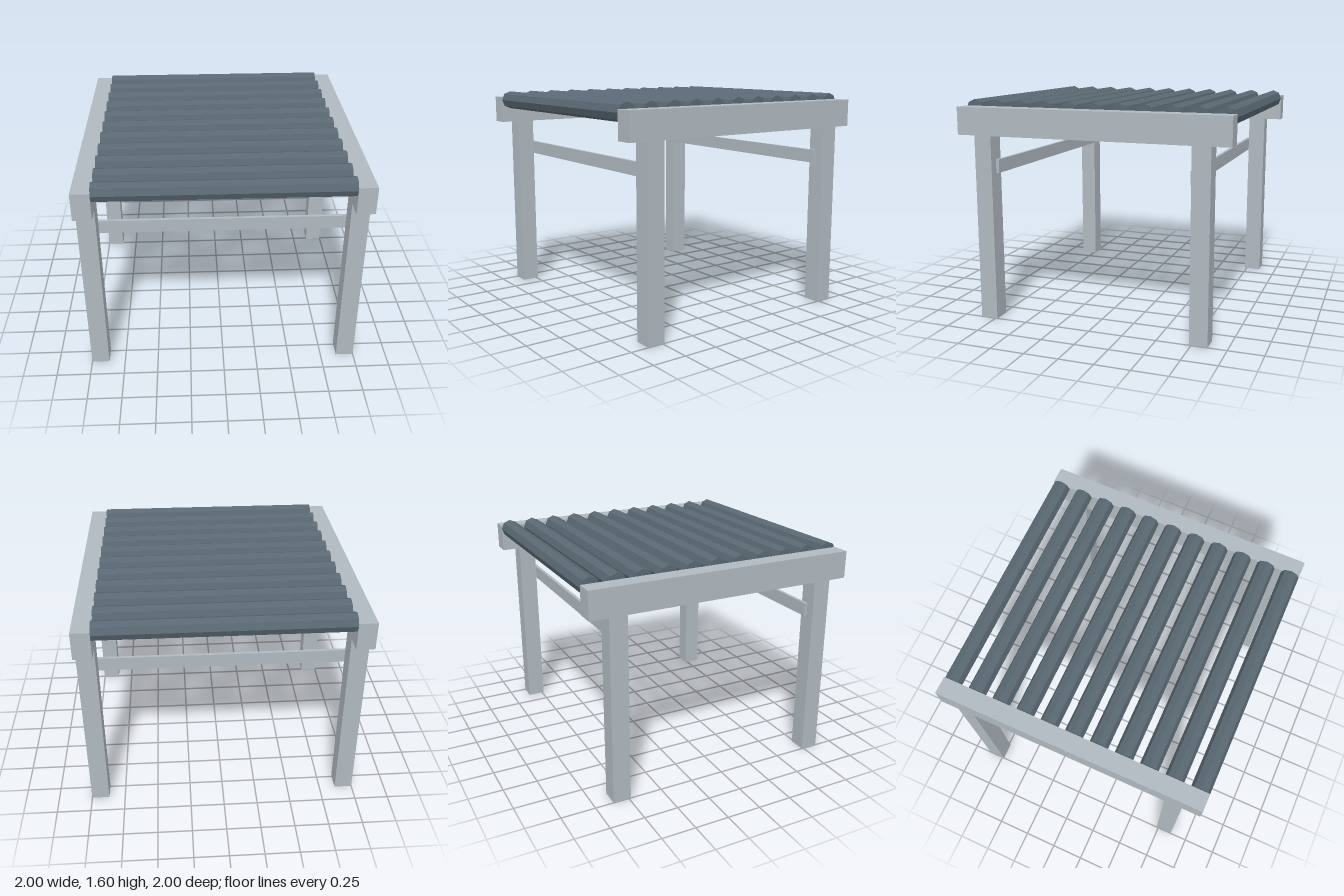
import * as THREE from 'three';

const paleGrey = new THREE.MeshStandardMaterial({ color: 0xb0b9c0 });
paleGrey.name = 'paleGrey';
const slateGrey = new THREE.MeshStandardMaterial({ color: 0x596872, flatShading: true });
slateGrey.name = 'slateGrey';

// Box given by its min and max on each axis
function box(name, [x0, x1], [y0, y1], [z0, z1]) {
  const mesh = new THREE.Mesh(new THREE.BoxGeometry(x1 - x0, y1 - y0, z1 - z0), paleGrey);
  mesh.name = name;
  mesh.position.set((x0 + x1) / 2, (y0 + y1) / 2, (z0 + z1) / 2);
  return mesh;
}

export function createModel() {
  const model = new THREE.Group();
  model.name = 'pergola';

  const inner = 0.87, beamBottom = 1.357, beamTop = 1.557;
  const span = (s, a, b) => (s > 0 ? [a, b] : [-b, -a]);

  for (const sx of [1, -1]) {
    const side = sx > 0 ? 'left' : 'right';

    // Side beams along z
    model.add(box(side + 'Beam', span(sx, inner, 1), [beamBottom, beamTop], [-1, 1]));

    // Posts
    for (const sz of [1, -1]) {
      const end = sz > 0 ? 'Front' : 'Back';
      model.add(box(side + end + 'Post', span(sx, inner, 1), [0, beamBottom], span(sz, 0.735, 0.865)));
    }
  }

  // Cross rails on the inner faces of the posts, ending at mid post
  for (const sz of [1, -1]) {
    model.add(box(sz > 0 ? 'frontRail' : 'backRail', [-0.935, 0.935], [1.085, 1.183], span(sz, 0.712, 0.735)));
  }

  // Octagonal roof poles between the beams
  const count = 11, radius = 0.068;
  const poleGeometry = new THREE.CylinderGeometry(radius, radius, inner * 2, 8);
  poleGeometry.rotateZ(Math.PI / 2);
  const roof = new THREE.Group();
  roof.name = 'roofPoles';
  for (let i = 0; i < count; i++) {
    const pole = new THREE.Mesh(poleGeometry, slateGrey);
    pole.name = 'roofPole' + (i + 1);
    pole.position.set(0, 1.535, (1 - radius) * (2 * i / (count - 1) - 1));
    roof.add(pole);
  }
  model.add(roof);

  return model;
}
